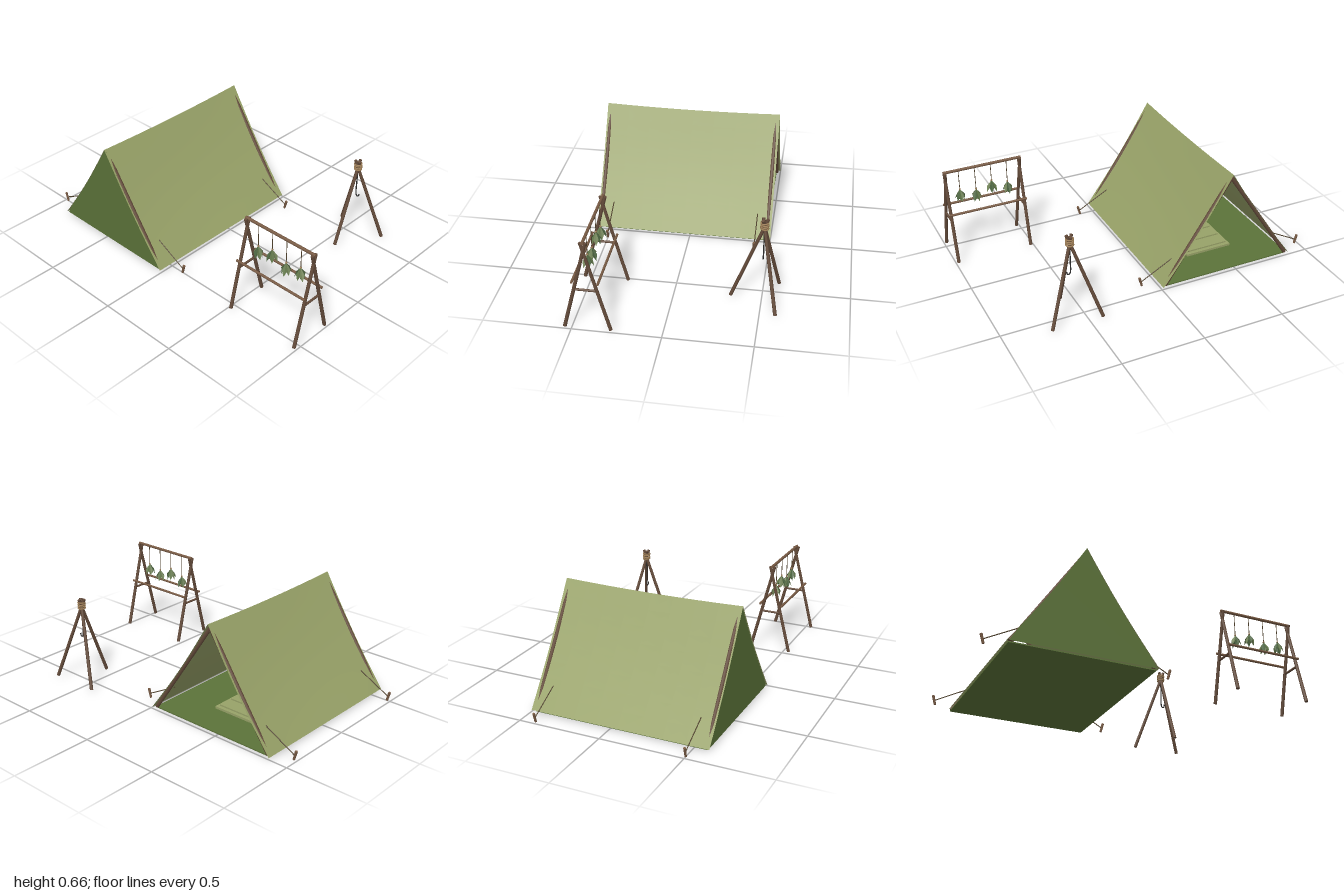
import * as THREE from 'three';

const mat = (color, extra = {}) => new THREE.MeshStandardMaterial({ color, ...extra });
const V = (x, y, z) => new THREE.Vector3(x, y, z);

export function createModel() {
  const root = new THREE.Group();
  const wood = mat(0x654c3b), bark = mat(0x7a5c45), rope = mat(0x54452f), lash = mat(0xa08058);
  const iron = mat(0x2e2e2e);
  const canvas = mat(0x98a268, { side: THREE.DoubleSide });
  const green = mat(0x5c7339, { side: THREE.DoubleSide });
  const leafMats = [0x4c6540, 0x62784a, 0x74865a].map(c => mat(c, { side: THREE.DoubleSide, flatShading: true }));

  const group = (name, parent = root) => {
    const g = new THREE.Group();
    g.name = name;
    parent.add(g);
    return g;
  };
  const add = (name, geo, material, parent) => {
    const m = new THREE.Mesh(geo, material);
    m.name = name;
    parent.add(m);
    return m;
  };
  // Round stick between two points, slightly thinner at its end
  const stick = (name, a, b, r, material, parent, taper = 1, sides = 8) => {
    const d = b.clone().sub(a);
    const m = add(name, new THREE.CylinderGeometry(r * taper, r, d.length(), sides), material, parent);
    m.position.copy(a).addScaledVector(d, 0.5);
    m.quaternion.setFromUnitVectors(V(0, 1, 0), d.normalize());
    return m;
  };

  // ---- Tent ----
  const tent = group('tent');
  tent.position.set(-0.445, 0, 0.045);
  const halfW = 0.435, halfL = 0.545, baseY = 0.012;

  // Canvas sides, dipping in the middle of the slope and along the ridge
  const sidePoint = (s, t, w) => {
    const sag = Math.sin(Math.PI * t) * (0.012 + 0.006 * (1 - w * w));
    const ridge = 0.662 - 0.01 * (1 - w * w) * (1 - t);
    return V(s * (halfW * t - sag * 0.83), ridge + (baseY - ridge) * t - sag * 0.55, w * halfL);
  };
  for (const s of [-1, 1]) {
    const geo = new THREE.PlaneGeometry(1, 1, 8, 8);
    const p = geo.attributes.position;
    for (let i = 0; i < p.count; i++) {
      const q = sidePoint(s, 0.5 - p.getY(i), p.getX(i) * -2 * s);
      p.setXYZ(i, q.x, q.y, q.z);
    }
    geo.computeVertexNormals();
    add('canvasSide', geo, canvas, tent);
  }

  // Closed front wall following the slope
  const wall = new THREE.Shape();
  wall.moveTo(-halfW + 0.012, baseY);
  for (let i = 1; i <= 16; i++) {
    const s = i <= 8 ? -1 : 1, t = i <= 8 ? 1 - i / 8 : (i - 8) / 8;
    const q = sidePoint(s, t, 1);
    wall.lineTo(i === 16 ? halfW - 0.012 : q.x, q.y);
  }
  wall.closePath();
  add('frontWall', new THREE.ShapeGeometry(wall), green, tent).position.z = halfL - 0.006;

  // Groundsheet
  add('groundsheet', new THREE.BoxGeometry(0.85, 0.007, 1.05), green, tent).position.set(0, 0.0065, 0.005);

  // Sleeping mat with padded ribs
  const bed = group('sleepingMat', tent);
  add('matBase', new THREE.BoxGeometry(0.3, 0.02, 0.62), canvas, bed).position.y = 0.014;
  for (let i = 0; i < 6; i++)
    add('matRib', new THREE.BoxGeometry(0.27, 0.01, 0.075), canvas, bed).position.set(0, 0.028, -0.25 + i * 0.1);

  // A-frame poles at both ends and the ridge pole
  for (const z of [-0.522, 0.526])
    for (const s of [-1, 1])
      stick('tentPole', V(s * 0.415, 0.015, z), V(0, 0.635, z), 0.012, wood, tent);
  stick('ridgePole', V(0, 0.622, -0.53), V(0, 0.622, 0.53), 0.01, wood, tent);

  // Guy lines and pegs
  for (const s of [-1, 1])
    for (const z of [-0.455, 0.455]) {
      stick('guyLine', V(s * 0.335, 0.14, z), V(s * 0.54, 0.03, z), 0.003, rope, tent, 1, 6);
      stick('peg', V(s * 0.534, 0.004, z), V(s * 0.549, 0.06, z), 0.007, bark, tent, 1.2, 6);
    }

  // ---- Drying rack ----
  const rack = group('dryingRack');
  rack.position.set(0.752, 0, 0.41);
  for (const x of [-0.233, 0.233]) {
    for (const s of [-1, 1])
      stick('rackLeg', V(x, 0.01, s * 0.128), V(x, 0.565, s * -0.014), 0.0105, wood, rack, 0.9);
    stick('rackBrace', V(x, 0.263, -0.066), V(x, 0.263, 0.066), 0.007, wood, rack);
  }
  stick('topBar', V(-0.243, 0.566, 0), V(0.243, 0.566, 0), 0.009, bark, rack);
  for (const s of [-1, 1])
    stick('sideRail', V(-0.243, 0.312, s * 0.071), V(0.243, 0.312, s * 0.071), 0.0075, bark, rack);

  // Folded kite-shaped leaf hanging down from its stalk
  const leafGeo = new THREE.BufferGeometry();
  leafGeo.setAttribute('position', new THREE.Float32BufferAttribute([
    0, 0, 0, -0.015, -0.045, 0.005, 0, -0.08, 0,
    0, 0, 0, 0, -0.08, 0, 0.015, -0.045, 0.005], 3));
  leafGeo.computeVertexNormals();

  // Bundles of herbs on strings
  [[-0.15, 0.42], [-0.05, 0.45], [0.05, 0.415], [0.15, 0.437]].forEach(([x, y], n) => {
    const herbs = group('herbBundle', rack);
    herbs.position.set(x, y, 0);
    stick('string', V(0, -0.005, 0), V(0, 0.566 - y, 0), 0.0022, rope, herbs, 1, 5);
    add('knot', new THREE.SphereGeometry(0.006, 8, 6), lash, herbs);
    for (let i = 0; i < 6; i++) {
      const turn = group('leafTurn', herbs);
      turn.rotation.y = n * 0.7 + i * Math.PI / 3;
      const leaf = add('leaf', leafGeo, leafMats[(i + n) % 3], turn);
      leaf.rotation.x = -0.33 - 0.12 * (i % 2);
    }
    add('middleLeaf', leafGeo, leafMats[n % 3], herbs).rotation.y = n;
  });

  // ---- Cooking tripod ----
  const tripod = group('cookingTripod');
  tripod.position.set(0.572, 0, -0.5);
  for (let i = 0; i < 3; i++) {
    const a = i * Math.PI * 2 / 3, dx = Math.sin(a), dz = Math.cos(a);
    stick('tripodLeg', V(dx * 0.177, 0.01, dz * 0.177), V(dx * -0.018, 0.535, dz * -0.018), 0.0105, wood, tripod, 0.9);
  }
  // Rope lashing around the crossing
  for (let i = 0; i < 4; i++) {
    const ring = add('lashing', new THREE.TorusGeometry(0.021, 0.0045, 6, 14), lash, tripod);
    ring.rotation.x = Math.PI / 2 + (i % 2 ? 0.06 : -0.06);
    ring.position.y = 0.478 + i * 0.012;
  }
  // Pot hook
  const hook = new THREE.CatmullRomCurve3([
    V(0, 0.48, 0), V(0, 0.4, 0), V(0, 0.31, 0), V(0.003, 0.293, 0),
    V(0.012, 0.286, 0), V(0.021, 0.293, 0), V(0.023, 0.308, 0)]);
  add('potHook', new THREE.TubeGeometry(hook, 32, 0.0038, 6), iron, tripod);

  return root;
}
